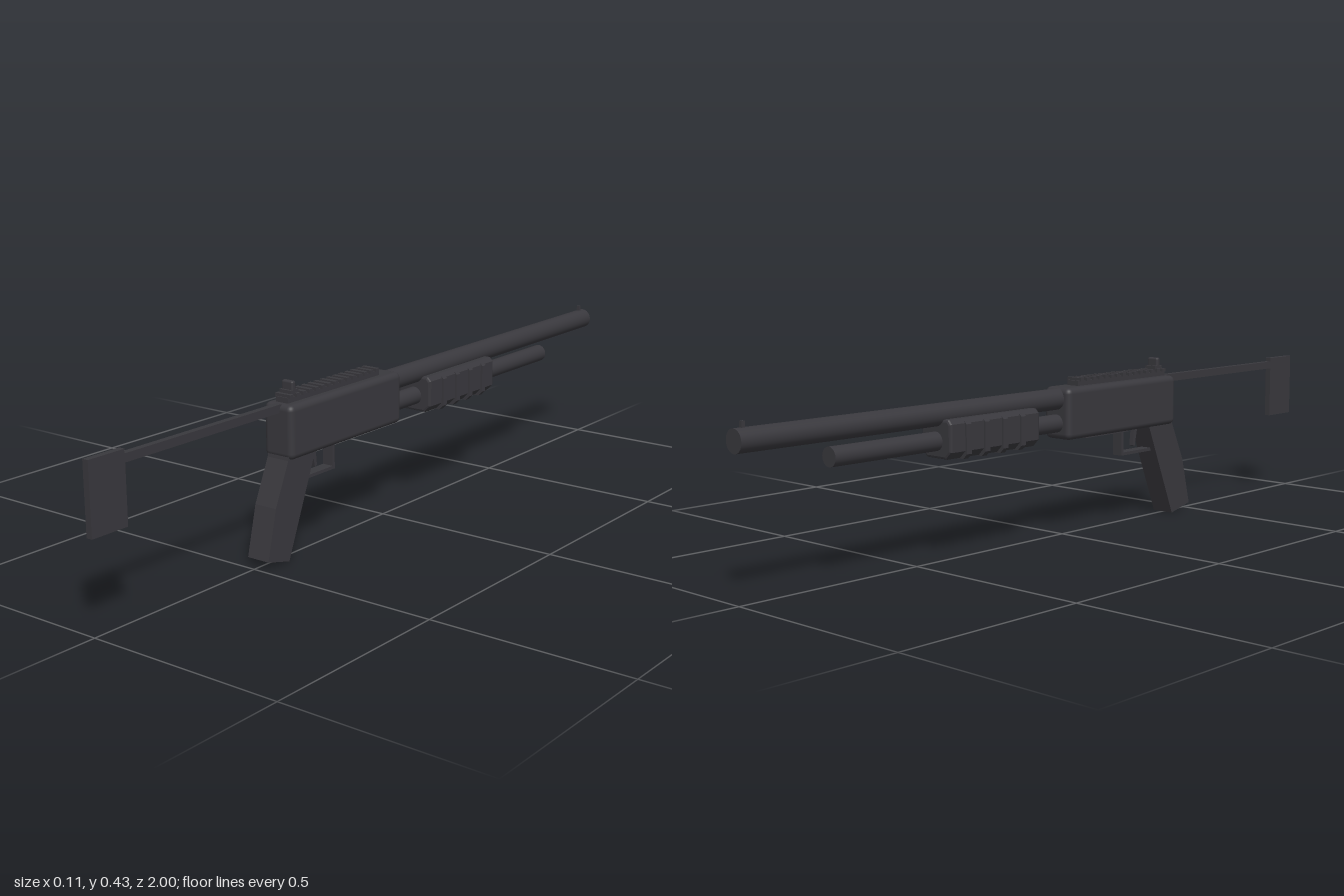
import * as THREE from 'three';
import { RoundedBoxGeometry } from 'three/addons/geometries/RoundedBoxGeometry.js';

const gunmetal = new THREE.MeshStandardMaterial({ color: 0x39383d });
gunmetal.name = 'gunmetal';

export function createModel() {
  const model = new THREE.Group();

  const add = (name, geometry, x = 0, y = 0, z = 0, parent = model) => {
    const mesh = new THREE.Mesh(geometry, gunmetal);
    mesh.name = name;
    mesh.position.set(x, y, z);
    parent.add(mesh);
    return mesh;
  };
  const group = (name) => {
    const g = new THREE.Group();
    g.name = name;
    model.add(g);
    return g;
  };
  // Box given by its width and its y and z ranges, optionally rounded
  const block = (name, w, y0, y1, z0, z1, r = 0, parent = model) => {
    const size = [w, y1 - y0, z1 - z0];
    const geo = r ? new RoundedBoxGeometry(...size, 3, r) : new THREE.BoxGeometry(...size);
    return add(name, geo, 0, (y0 + y1) / 2, (z0 + z1) / 2, parent);
  };
  // Cylinder along z
  const rod = (name, r, y, z0, z1) =>
    add(name, new THREE.CylinderGeometry(r, r, z1 - z0, 32).rotateX(Math.PI / 2), 0, y, (z0 + z1) / 2);
  // Side profile of [z, y] points, extruded across the width
  const sideProfile = (points, w) => {
    const shape = new THREE.Shape(points.map(([z, y]) => new THREE.Vector2(-z, y)));
    return new THREE.ExtrudeGeometry(shape, { depth: w, bevelEnabled: false })
      .translate(0, 0, -w / 2).rotateY(Math.PI / 2);
  };

  // Receiver, barrel and magazine tube
  block('receiver', 0.086, 0.25, 0.382, -0.022, 0.408, 0.015);
  block('loadingPort', 0.045, 0.246, 0.256, 0.065, 0.235);
  rod('barrel', 0.027, 0.353, -1, 0);
  rod('magazineTube', 0.023, 0.291, -0.752, 0);
  block('frontSight', 0.008, 0.375, 0.394, -0.982, -0.973);

  // Sliding fore-end: chamfered section with raised ribs
  const pump = group('pump');
  const section = (w, top, bottom, c) => new THREE.Shape([
    [-w, bottom + c], [-w + c, bottom], [w - c, bottom], [w, bottom + c],
    [w, top - c * 0.5], [w - c * 0.5, top], [-w + c * 0.5, top], [-w, top - c * 0.5],
  ].map(([x, y]) => new THREE.Vector2(x, y)));
  add('pumpBody', new THREE.ExtrudeGeometry(section(0.044, 0.338, 0.256, 0.014), {
    depth: 0.288, bevelSize: 0.006, bevelThickness: 0.006, bevelSegments: 2,
  }), 0, 0, -0.429, pump);
  for (let i = 0; i < 4; i++) {
    add('pumpRib', new THREE.ExtrudeGeometry(section(0.055, 0.337, 0.248, 0.012), {
      depth: 0.016, bevelEnabled: false,
    }), 0, 0, -0.205 - i * 0.061, pump);
  }

  // Toothed top rail
  const rail = group('topRail');
  block('railBase', 0.036, 0.378, 0.395, 0.04, 0.39, 0, rail);
  const teeth = 15;
  for (let i = 0; i < teeth; i++) {
    const z = 0.046 + i * 0.0235;
    block('railTooth', 0.046, 0.393, 0.402, z, z + 0.012, 0, rail);
  }

  // Rear sight
  block('rearSightBase', 0.034, 0.4, 0.41, 0.35, 0.378);
  block('rearSight', 0.034, 0.4, 0.431, 0.358, 0.372, 0.005);

  // Bent pistol grip
  add('grip', sideProfile([
    [0.405, 0.265], [0.408, 0.25], [0.455, 0.145], [0.485, 0.022], [0.41, 0.003], [0.31, 0.25], [0.31, 0.265],
  ], 0.063));

  // Trigger guard and trigger
  const guard = group('triggerGuard');
  block('guardBottom', 0.03, 0.182, 0.19, 0.215, 0.345, 0, guard);
  block('guardFront', 0.03, 0.186, 0.255, 0.215, 0.223, 0, guard);
  add('trigger', sideProfile([
    [0.292, 0.256], [0.28, 0.2], [0.272, 0.203], [0.278, 0.256],
  ], 0.012));

  // Skeleton stock: rod and shoulder plate
  block('stockRod', 0.016, 0.362, 0.382, 0.4, 0.905);
  block('shoulderPlate', 0.016, 0.222, 0.392, 0.898, 1);

  return model;
}
